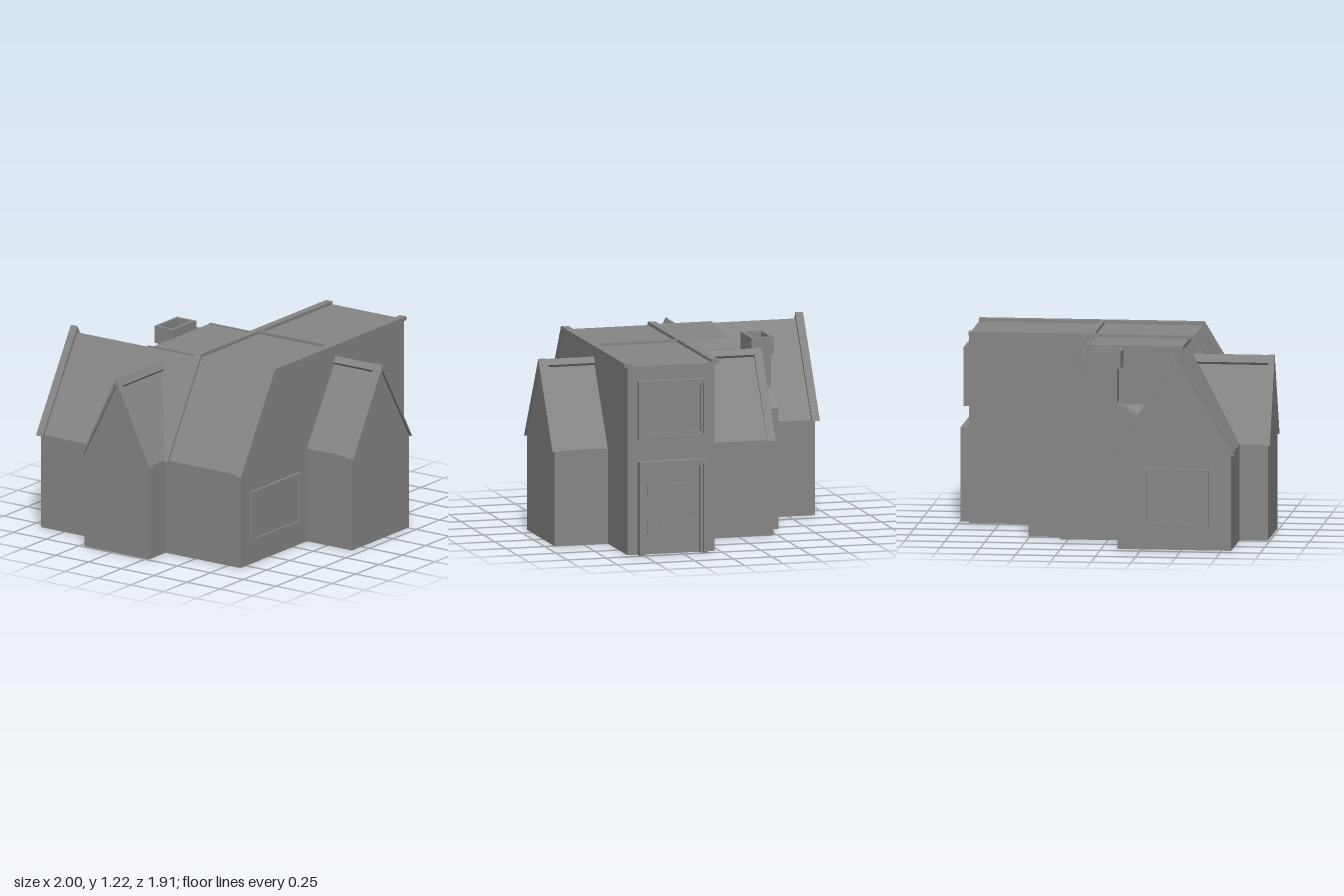
import * as THREE from 'three';

const mat = new THREE.MeshStandardMaterial({ color: 0x868686, flatShading: true, side: THREE.DoubleSide });

export function createModel() {
  const house = new THREE.Group();
  house.name = 'house';

  const add = (name, geometry, parent = house) => {
    const mesh = new THREE.Mesh(geometry, mat);
    mesh.name = name;
    parent.add(mesh);
  };
  // Box given by its limits on each axis
  const box = (name, x0, x1, y0, y1, z0, z1, parent) => {
    const g = new THREE.BoxGeometry(x1 - x0, y1 - y0, z1 - z0);
    g.translate((x0 + x1) / 2, (y0 + y1) / 2, (z0 + z1) / 2);
    add(name, g, parent);
  };
  const shape = (pts) => new THREE.Shape(pts.map(([x, y]) => new THREE.Vector2(x, y)));
  const extrude = (outline, from, to) => {
    const g = new THREE.ExtrudeGeometry(outline, { depth: to - from, bevelEnabled: false });
    return g.translate(0, 0, from);
  };
  // Outline in x,y extruded along z
  const alongZ = (name, pts, z0, z1) => add(name, extrude(shape(pts), z0, z1));
  // Outline in z,y extruded along x
  const alongX = (name, pts, x0, x1) => add(name, extrude(shape(pts), -x1, -x0).rotateY(-Math.PI / 2));

  // House-shaped outline, the band that caps its roof edge, and the cap along its ridge
  const gable = (a, b, eave, peak) => [[a, 0], [b, 0], [b, eave], [(a + b) / 2, peak], [a, eave]];
  const gableBand = (a, b, eave, peak, side, rise) => {
    const m = (a + b) / 2;
    return [
      [a - side, eave - 0.005], [a, eave - 0.005], [m, peak - 0.005], [b, eave - 0.005],
      [b + side, eave - 0.005], [m, peak + rise],
    ];
  };
  const ridgeCap = (m, top, drop) => [
    [m, top], [m - 0.025, top - drop], [m - 0.014, top - drop - 0.015],
    [m + 0.014, top - drop - 0.015], [m + 0.025, top - drop],
  ];

  // Main block: one sloped end, long flat top
  alongZ('mainBlock', [[-0.81, 0], [0.94, 0], [0.94, 1.185], [-0.46, 1.185], [-0.81, 0.6]], 0.03, 0.595);
  const mainBand = [
    [-0.83, 0.595], [-0.805, 0.595], [-0.45, 1.18], [0.94, 1.18], [0.94, 1.205], [-0.465, 1.205],
  ];
  alongZ('mainRoofTrimFront', mainBand, 0.565, 0.612);
  alongZ('mainRoofTrimBack', mainBand, 0.002, 0.05);
  box('roofDivider', 0.155, 0.182, 1.175, 1.203, 0.02, 0.58);

  // Cross wing running from the front gable to the back gable
  alongZ('crossWing', gable(-0.1, 0.51, 0.6, 1.1), -0.475, 0.938);
  const crossBand = gableBand(-0.1, 0.51, 0.6, 1.1, 0.01, 0.03);
  alongZ('crossWingTrimFront', crossBand, 0.895, 0.955);
  alongZ('crossWingTrimBack', crossBand, -0.488, -0.435);
  alongZ('crossWingRidge', ridgeCap(0.205, 1.127, 0.036), -0.44, 0.94);

  // Back wing
  alongZ('backWing', gable(-0.81, -0.1, 0.6, 1.18), -0.925, 0.1);
  alongZ('backWingTrim', gableBand(-0.81, -0.1, 0.6, 1.18, 0.02, 0.04), -0.95, -0.9);

  // Side wing on the right
  alongX('sideWing', gable(-0.468, 0.024, 0.6, 1.09), -0.987, -0.48);
  alongX('sideWingTrim', gableBand(-0.468, 0.024, 0.6, 1.09, 0.013, 0.04), -1, -0.96);
  alongX('sideWingRidge', ridgeCap(-0.222, 1.127, 0.047), -0.965, -0.46);

  // Flat link between the wings, with sloped edges
  box('linkBlock', -0.44, 0.165, 0, 1.185, -0.33, 0.1);
  alongZ('linkTrimLeft', [[0.15, 1.13], [0.195, 1.13], [0.165, 1.19], [0.15, 1.19]], -0.33, 0.03);
  alongZ('linkTrimRight', [[-0.455, 1.13], [-0.425, 1.13], [-0.455, 1.19]], -0.365, 0.03);
  alongX('linkSlope', [[-0.46, 0], [-0.12, 0], [-0.12, 1.17], [-0.46, 0.6]], -0.3, 0.165);

  // Chimney: wide base, sloped shoulders, stack and hollow cap
  alongZ('chimney', [
    [-0.2, 0], [0.302, 0], [0.302, 0.76], [0.135, 0.86], [0.135, 1.09],
    [-0.055, 1.09], [-0.055, 0.86], [-0.2, 0.76],
  ], -0.57, -0.455);
  const cap = shape([[-0.08, 0.435], [0.163, 0.435], [0.163, 0.582], [-0.08, 0.582]]);
  cap.holes.push(shape([[-0.06, 0.457], [-0.06, 0.562], [0.142, 0.562], [0.142, 0.457]]));
  add('chimneyCap', extrude(cap, 1.075, 1.185).rotateX(-Math.PI / 2));

  // Border around an opening; an open one reaches the ground without a sill
  const border = (w, h, t, open) => {
    const x = w / 2;
    const y = h / 2;
    if (open) {
      return shape([
        [-x, -y], [t - x, -y], [t - x, y - t], [x - t, y - t], [x - t, -y], [x, -y], [x, y], [-x, y],
      ]);
    }
    const outline = shape([[-x, -y], [x, -y], [x, y], [-x, y]]);
    outline.holes.push(shape([[t - x, t - y], [t - x, y - t], [x - t, y - t], [x - t, t - y]]));
    return outline;
  };
  // Framed opening facing +z around its own centre, with a lower inner rim
  const framed = (name, w, h, t, rim, depth, open) => {
    const group = new THREE.Group();
    group.name = name;
    add('frame', extrude(border(w, h, t, open), -0.01, depth), group);
    add('innerRim', extrude(border(w, h, t + rim, open), -0.01, depth * 0.6), group);
    box('pane', 0.01 - w / 2, w / 2 - 0.01, -h / 2, h / 2 - 0.01, -0.01, 0.005, group);
    house.add(group);
    return group;
  };
  framed('frontWindow', 0.53, 0.33, 0.02, 0.002, 0.018, false).position.set(-0.445, 0.305, 0.595);

  const backWindow = framed('backWindow', 0.42, 0.36, 0.022, 0.012, 0.028, false);
  backWindow.position.set(-0.46, 0.33, -0.925);
  backWindow.rotation.y = Math.PI;

  const upperWindow = framed('upperWindow', 0.44, 0.37, 0.022, 0.015, 0.04, false);
  upperWindow.position.set(0.94, 0.91, 0.31);
  upperWindow.rotation.y = Math.PI / 2;

  // Door with two raised panels
  const door = framed('door', 0.44, 0.59, 0.025, 0.018, 0.06, true);
  door.position.set(0.94, 0.295, 0.31);
  door.rotation.y = Math.PI / 2;
  for (const y of [-0.125, 0.105]) box('doorPanel', -0.155, 0.155, y - 0.04, y + 0.04, 0, 0.016, door);

  return house;
}
